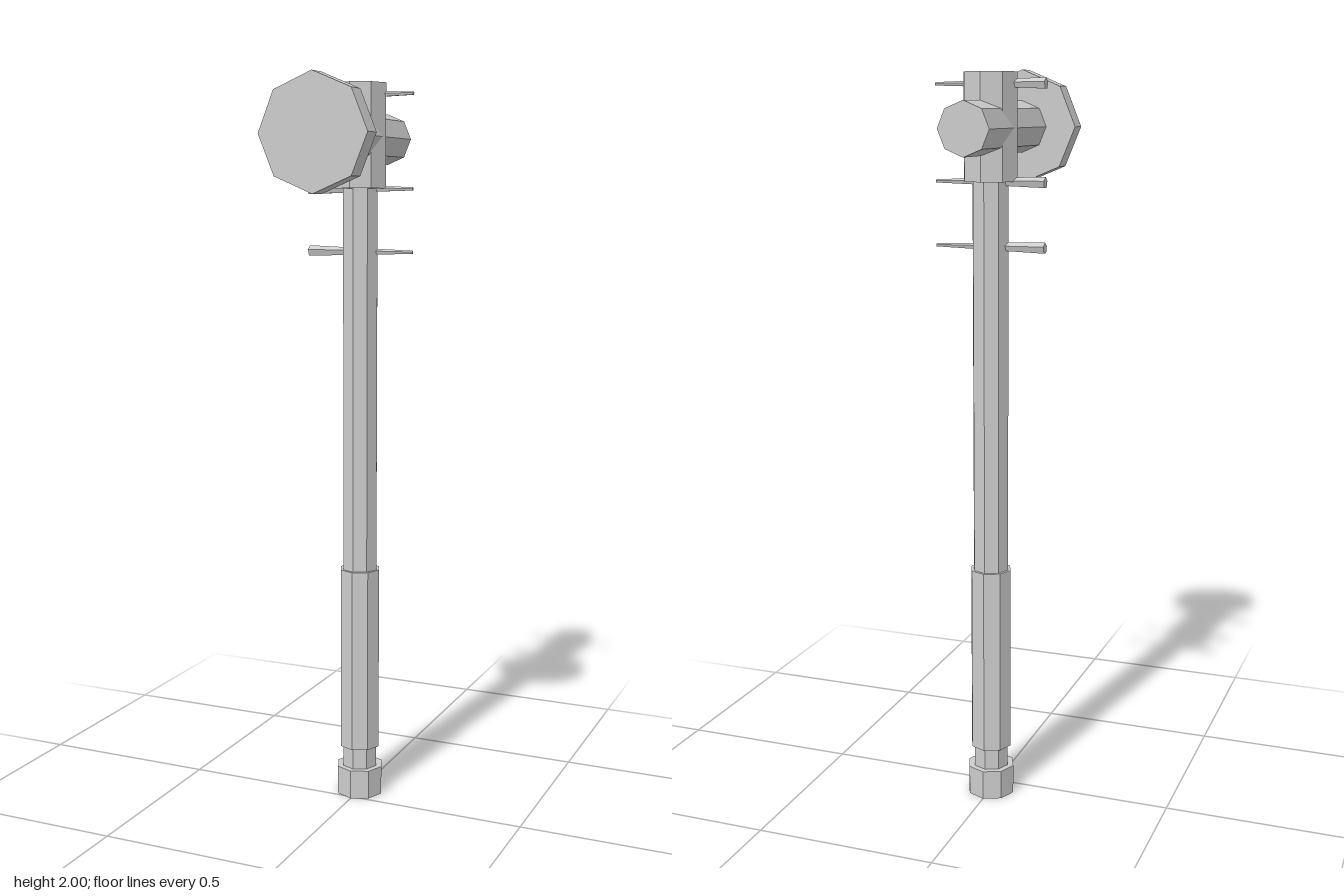
import * as THREE from 'three';

const steel = new THREE.MeshStandardMaterial({ color: 0xcccccc });
steel.name = 'steel';

const AXIS_Z = -0.056; // depth of the handle axis
const HEAD_Y = 1.85;   // height of the hammer axis

// Faceted cylinder with hard edges, standing along y
function faceted(name, rTop, rBottom, length, sides = 8) {
  const geo = new THREE.CylinderGeometry(rTop, rBottom, length, sides).toNonIndexed();
  geo.computeVertexNormals();
  const mesh = new THREE.Mesh(geo, steel);
  mesh.name = name;
  return mesh;
}

// Part on the handle axis between two heights
function upright(name, r, y0, y1) {
  const mesh = faceted(name, r, r, y1 - y0);
  mesh.position.set(0, (y0 + y1) / 2, AXIS_Z);
  return mesh;
}

// Part on the hammer axis between two depths
function lengthwise(name, r, z0, z1) {
  const mesh = faceted(name, r, r, z1 - z0);
  mesh.rotation.x = Math.PI / 2;
  mesh.position.set(0, HEAD_Y, (z0 + z1) / 2);
  return mesh;
}

export function createModel() {
  const group = new THREE.Group();
  group.name = 'hammer';

  // Handle
  group.add(
    upright('pommel', 0.067, 0, 0.082),
    upright('shaft', 0.05, 0.08, 1.72),
    upright('grip', 0.058, 0.142, 0.662),
  );

  // Head
  group.add(
    upright('collar', 0.074, 1.715, 1.99),
    lengthwise('headBar', 0.069, -0.25, 0.194),
    lengthwise('strikingFace', 0.151, 0.193, 0.25),
  );

  // Tapered pins through the handle, thick end on the right
  for (const y of [1.96, 1.713, 1.546]) {
    const pin = faceted('pin', 0.0155, 0.0047, 0.302, 5);
    pin.rotation.set(0, -Math.PI / 2, Math.PI / 2, 'ZYX');
    pin.rotation.set(0, 0, Math.PI / 2);
    pin.geometry.rotateY(Math.PI / 2);
    pin.position.set(0, y, AXIS_Z - 0.002);
    group.add(pin);
  }
  return group;
}
